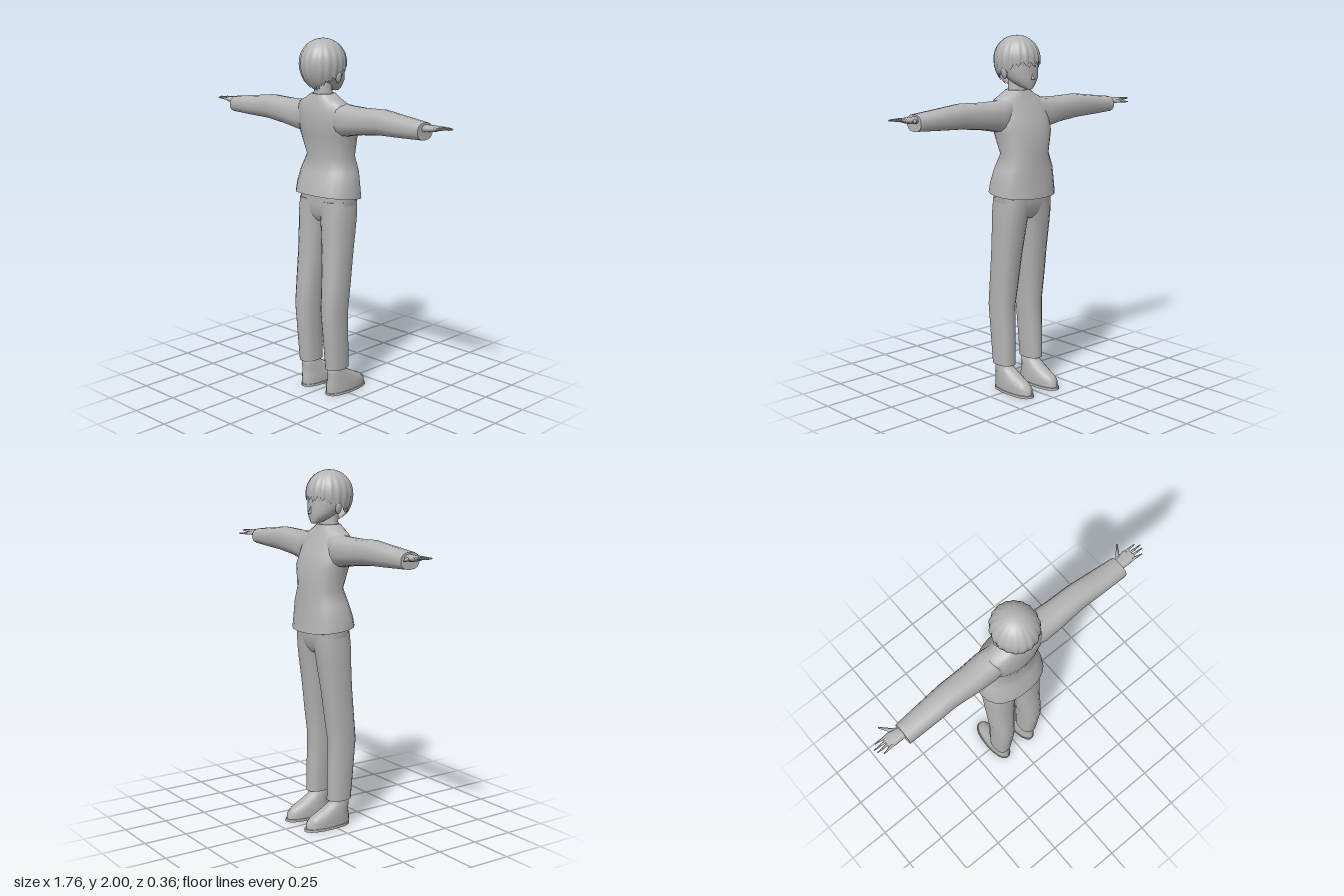
import * as THREE from 'three';

const cloth = new THREE.MeshStandardMaterial({ color: 0xb4b4b4, side: THREE.DoubleSide });
cloth.name = 'plain grey';

// Rounded cross-sections [t, aMin, aMax, bMin, bMax, tilt] joined along an axis.
// axis y: a = x, b = z; axis x: a = y, b = z. Capped ends get their own vertices.
function loft(name, rings, { axis = 'y', side = 1, n = 16, power = 2.4, caps = [true, true] } = {}) {
  const pos = [], idx = [];
  const put = (a, b, t) => (axis === 'y' ? pos.push(a * side, t, b) : pos.push(t * side, a, b));
  const ring = ([t, a0, a1, b0, b1, tilt = 0]) => {
    for (let j = 0; j < n; j++) {
      const w = (j / n) * Math.PI * 2;
      const bend = (v) => Math.sign(v) * Math.abs(v) ** (2 / power);
      const c = bend(Math.cos(w)), s = bend(Math.sin(w));
      put((a0 + a1) / 2 + ((a1 - a0) / 2) * c, (b0 + b1) / 2 + ((b1 - b0) / 2) * s, t + tilt * s);
    }
  };
  rings.forEach(ring);
  for (let i = 0; i < rings.length - 1; i++)
    for (let j = 0; j < n; j++) {
      const a = i * n + j, b = i * n + ((j + 1) % n);
      idx.push(a, a + n, b, b, a + n, b + n);
    }
  [rings[0], rings[rings.length - 1]].forEach((r, e) => {
    if (!caps[e]) return;
    const base = pos.length / 3;
    ring(r);
    put((r[1] + r[2]) / 2, (r[3] + r[4]) / 2, r[0]);
    for (let j = 0; j < n; j++) {
      const a = base + j, b = base + ((j + 1) % n);
      if (e) idx.push(a, base + n, b); else idx.push(a, b, base + n);
    }
  });
  // Turn every face outward
  const up = rings[rings.length - 1][0] > rings[0][0] ? 1 : -1;
  if (up * side * (axis === 'y' ? 1 : -1) < 0)
    for (let k = 0; k < idx.length; k += 3) [idx[k], idx[k + 1]] = [idx[k + 1], idx[k]];
  const g = new THREE.BufferGeometry();
  g.setAttribute('position', new THREE.Float32BufferAttribute(pos, 3));
  g.setIndex(idx);
  g.computeVertexNormals();
  const m = new THREE.Mesh(g, cloth);
  m.name = name;
  return m;
}

// Pointed finger between two points
function finger(name, from, to, radius) {
  const a = new THREE.Vector3(...from), b = new THREE.Vector3(...to);
  const m = new THREE.Mesh(new THREE.CylinderGeometry(radius * 0.3, radius, a.distanceTo(b), 6), cloth);
  m.position.copy(a).lerp(b, 0.5);
  m.quaternion.setFromUnitVectors(new THREE.Vector3(0, 1, 0), b.sub(a).normalize());
  m.name = name;
  return m;
}

// Hair cap: grooved ellipsoid with a jagged hem, low at the nape and high over the face
function hairCap(scale, phase, lift) {
  const n = 108, rows = 12, locks = 18, pos = [], idx = [];
  for (let i = 0; i <= rows; i++)
    for (let j = 0; j < n; j++) {
      const w = (j / n) * Math.PI * 2, s = Math.sin(w), v = i / rows;
      const saw = Math.abs((((w / (2 * Math.PI)) * locks + phase) % 1) * 2 - 1);
      const hem = lift + (s > 0 ? 1.785 - 0.06 * s * s : 1.785 + 0.05 * Math.min(1, -s * 1.3)) + 0.035 * saw;
      const hemAngle = Math.acos(Math.max(-0.97, (hem - 1.87) / (hem < 1.87 ? 0.16 : 0.13)));
      const p = v * hemAngle, c = Math.cos(p);
      const r = Math.sin(p) * scale * (1 - 0.06 * saw * v);
      pos.push(0.126 * r * Math.cos(w), 1.87 + c * (c < 0 ? 0.16 : 0.13 * scale), 0.048 + 0.134 * r * s);
    }
  for (let i = 0; i < rows; i++)
    for (let j = 0; j < n; j++) {
      const a = i * n + j, b = i * n + ((j + 1) % n);
      idx.push(a, b, a + n, b, b + n, a + n);
    }
  const g = new THREE.BufferGeometry();
  g.setAttribute('position', new THREE.Float32BufferAttribute(pos, 3));
  g.setIndex(idx);
  g.computeVertexNormals();
  const m = new THREE.Mesh(g, cloth);
  m.name = 'hair';
  return m;
}

function arm(side) {
  const g = new THREE.Group();
  g.name = side > 0 ? 'leftArm' : 'rightArm';
  g.add(loft('sleeve', [
    [0.08, 1.5, 1.67, -0.04, 0.1], [0.17, 1.485, 1.655, -0.055, 0.11], [0.28, 1.505, 1.652, -0.045, 0.108],
    [0.42, 1.52, 1.657, -0.04, 0.1], [0.56, 1.525, 1.64, -0.03, 0.102], [0.715, 1.532, 1.622, -0.018, 0.102],
  ], { axis: 'x', side, n: 14 }));
  g.add(loft('palm', [
    [0.69, 1.572, 1.612, 0.01, 0.065], [0.74, 1.575, 1.612, 0.0, 0.068],
    [0.78, 1.582, 1.61, -0.008, 0.07], [0.81, 1.592, 1.608, -0.002, 0.066],
  ], { axis: 'x', side, n: 10 }));
  const tips = [[0.855, 0.002], [0.878, 0.025], [0.872, 0.045], [0.85, 0.07]];
  tips.forEach(([x, z], i) =>
    g.add(finger('finger', [0.79 * side, 1.6, 0.006 + i * 0.018], [x * side, 1.602, z], 0.009)));
  g.add(finger('thumb', [0.735 * side, 1.592, 0.01], [0.79 * side, 1.59, -0.06], 0.013));
  return g;
}

function leg(side) {
  const g = new THREE.Group();
  g.name = side > 0 ? 'leftLeg' : 'rightLeg';
  g.add(loft('trouserLeg', [
    [0.155, 0.052, 0.156, -0.028, 0.115], [0.32, 0.047, 0.16, -0.025, 0.13], [0.5, 0.04, 0.165, -0.02, 0.145],
    [0.65, 0.03, 0.168, -0.04, 0.132], [0.8, 0.018, 0.17, -0.057, 0.12], [0.95, 0.004, 0.172, -0.08, 0.115],
    [1.03, -0.005, 0.174, -0.09, 0.114], [1.12, -0.04, 0.17, -0.1, 0.112],
  ], { side }));
  g.add(loft('shoe', [
    [0.01, 0.045, 0.152, -0.172, 0.112], [0.045, 0.043, 0.154, -0.17, 0.113], [0.07, 0.047, 0.152, -0.145, 0.108],
    [0.1, 0.052, 0.15, -0.085, 0.104], [0.13, 0.058, 0.145, -0.03, 0.106], [0.15, 0.06, 0.142, -0.008, 0.106],
    [0.19, 0.07, 0.14, 0.0, 0.09],
  ], { side, n: 18, power: 2.2 }));
  g.add(loft('sole', [
    [0, 0.04, 0.156, -0.182, 0.115], [0.014, 0.04, 0.156, -0.18, 0.115],
  ], { side, n: 18, power: 2.3 }));
  return g;
}

export function createModel() {
  const model = new THREE.Group();
  model.name = 'standingFigure';

  // Jacket, open at the hem
  model.add(loft('jacket', [
    [1.138, -0.198, 0.198, -0.14, 0.155, 0.017], [1.2, -0.192, 0.192, -0.133, 0.143, 0.01],
    [1.28, -0.178, 0.178, -0.127, 0.118], [1.36, -0.142, 0.142, -0.122, 0.096], [1.48, -0.175, 0.175, -0.117, 0.122],
    [1.56, -0.182, 0.182, -0.08, 0.13], [1.62, -0.18, 0.18, -0.052, 0.126], [1.655, -0.158, 0.158, -0.035, 0.118],
    [1.68, -0.108, 0.108, -0.024, 0.112], [1.705, -0.066, 0.066, -0.016, 0.105],
  ], { n: 22, power: 2.3, caps: [false, true] }));

  // Trousers
  model.add(loft('hips', [
    [1.0, -0.07, 0.07, -0.06, 0.08], [1.04, -0.14, 0.14, -0.088, 0.108],
    [1.1, -0.172, 0.172, -0.101, 0.113], [1.2, -0.165, 0.165, -0.1, 0.11],
  ], { n: 22, power: 2.6 }));

  // Limbs
  for (const side of [1, -1]) model.add(arm(side), leg(side));

  // Neck and face
  model.add(loft('neck', [
    [1.66, -0.065, 0.065, -0.01, 0.1], [1.72, -0.052, 0.052, -0.002, 0.095], [1.82, -0.055, 0.055, 0, 0.1],
  ], { n: 14, power: 2 }));
  model.add(loft('face', [
    [1.712, -0.014, 0.014, -0.066, -0.035], [1.722, -0.033, 0.033, -0.071, 0.0], [1.745, -0.063, 0.063, -0.073, 0.045],
    [1.775, -0.09, 0.09, -0.075, 0.09], [1.82, -0.104, 0.104, -0.07, 0.125], [1.88, -0.108, 0.108, -0.07, 0.14],
    [1.94, -0.085, 0.085, -0.045, 0.12],
  ], { n: 20, power: 2.1 }));
  const nose = new THREE.Mesh(new THREE.ConeGeometry(0.012, 0.045, 4), cloth);
  nose.name = 'nose';
  nose.position.set(0, 1.787, -0.077);
  nose.rotation.x = 0.25;
  model.add(nose);
  for (const side of [1, -1]) {
    const ear = new THREE.Mesh(new THREE.SphereGeometry(1, 10, 8), cloth);
    ear.name = 'ear';
    ear.scale.set(0.012, 0.032, 0.02);
    ear.position.set(side * 0.106, 1.798, 0.035);
    ear.rotation.z = -side * 0.2;
    model.add(ear);
  }

  // Two offset layers of hair locks
  model.add(hairCap(1, 0, 0), hairCap(0.965, 0.5, -0.008));
  return model;
}
